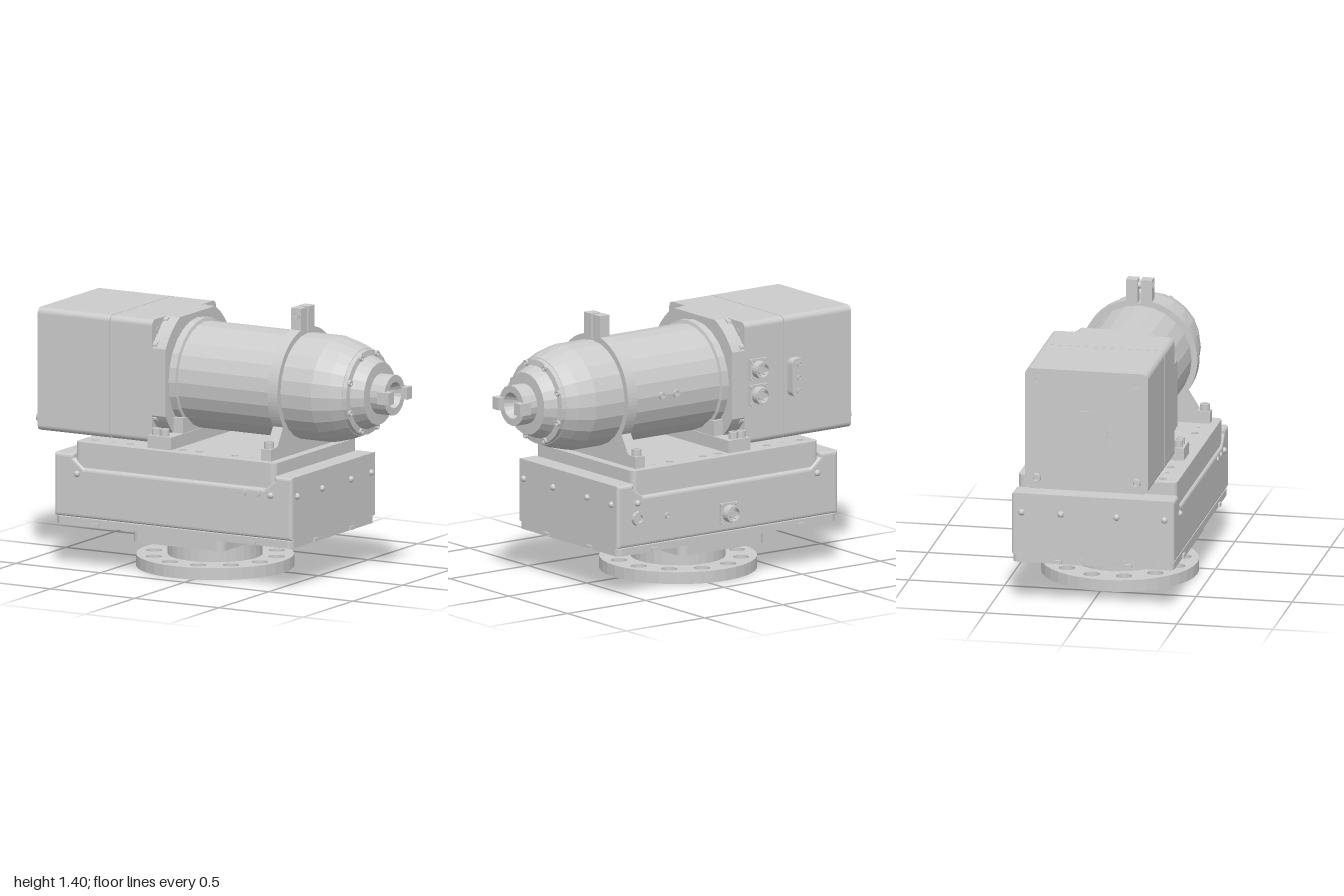
import * as THREE from 'three';

const CY = 0.99, CZ = 0.022; // main spindle axis

export function createModel() {
  const model = new THREE.Group();
  const mat = new THREE.MeshStandardMaterial({ color: 0xcccccc, flatShading: true });

  const add = (name, geo, x = 0, y = 0, z = 0) => {
    const m = new THREE.Mesh(geo, mat);
    m.name = name;
    m.position.set(x, y, z);
    model.add(m);
    return m;
  };
  // box from its min/max limits
  const box = (name, x0, x1, y0, y1, z0, z1) =>
    add(name, new THREE.BoxGeometry(x1 - x0, y1 - y0, z1 - z0), (x0 + x1) / 2, (y0 + y1) / 2, (z0 + z1) / 2);
  // cylinder centred at a point, along a named axis
  const cyl = (name, axis, r, len, x, y, z, seg = 16, r2 = r) => {
    const g = new THREE.CylinderGeometry(r2, r, len, seg);
    if (axis === 'x') g.rotateZ(-Math.PI / 2);
    if (axis === 'z') g.rotateX(Math.PI / 2);
    return add(name, g, x, y, z);
  };
  const circle = (x, y, r) => new THREE.Path().absarc(x, y, r, 0, Math.PI * 2, true);
  const roundRect = (w, h, r) => {
    const s = new THREE.Shape(), a = w / 2, b = h / 2;
    s.absarc(a - r, b - r, r, 0, Math.PI / 2);
    s.absarc(-a + r, b - r, r, Math.PI / 2, Math.PI);
    s.absarc(-a + r, -b + r, r, Math.PI, Math.PI * 1.5);
    s.absarc(a - r, -b + r, r, Math.PI * 1.5, Math.PI * 2);
    s.closePath();
    return s;
  };
  const extrude = (shape, depth, seg = 6) =>
    new THREE.ExtrudeGeometry(shape, { depth, bevelEnabled: false, curveSegments: seg });
  const upward = (name, shape, y0, y1, x, z, seg) =>
    add(name, extrude(shape, y1 - y0, seg).rotateX(-Math.PI / 2), x, y0, z);
  const alongX = (name, shape, x0, x1, y, z, seg) =>
    add(name, extrude(shape, x1 - x0, seg).rotateY(Math.PI / 2), x0, y, z);
  // socket-head screw with a recess, pointing along the given axis
  const screw = (name, axis, dir, r, len, x, y, z) => {
    const pts = [[0, 0], [r, 0], [r, len], [r * 0.55, len], [r * 0.5, len * 0.4], [0, len * 0.4]];
    const g = new THREE.LatheGeometry(pts.map(p => new THREE.Vector2(...p)), 12);
    if (axis === 'x') g.rotateZ(-dir * Math.PI / 2);
    if (axis === 'z') g.rotateX(dir * Math.PI / 2);
    return add(name, g, x, y, z);
  };
  const dome = (x, y, z) => add('coverScrew', new THREE.SphereGeometry(0.017, 10, 8), x, y, z);

  // Base flange: small through holes below, wide counterbores above
  const flange = holeR => {
    const s = new THREE.Shape().absarc(0, 0, 0.405, 0, Math.PI * 2);
    for (let i = 0; i < 12; i++) {
      const a = (i + 0.5) * Math.PI / 6;
      s.holes.push(circle(0.325 * Math.cos(a), 0.325 * Math.sin(a), holeR));
    }
    return s;
  };
  upward('baseFlangeLower', flange(0.02), 0, 0.03, -0.1, 0.022, 18);
  upward('baseFlangeUpper', flange(0.042), 0.03, 0.062, -0.1, 0.022, 18);
  cyl('baseNeck', 'y', 0.243, 0.1, -0.1, 0.11, 0.022, 32);
  upward('baseAdapterPlate', roundRect(0.54, 0.775, 0.04), 0.16, 0.222, -0.1, 0.022);
  for (const x of [-0.32, 0.12]) for (const z of [-0.31, 0.355])
    cyl('adapterBolt', 'y', 0.022, 0.012, x, 0.157, z);

  // Lower housing: floor plate, then a cover cut away around the deck
  upward('housingFloor', roundRect(1.4, 0.84, 0.03), 0.222, 0.26, -0.1, 0.022);
  const cover = new THREE.Shape([
    [-0.805, 0.262], [0.605, 0.262], [0.605, 0.59], [0.5, 0.59], [0.5, 0.57],
    [0.44, 0.52], [-0.63, 0.52], [-0.69, 0.57], [-0.69, 0.59], [-0.805, 0.59],
  ].map(p => new THREE.Vector2(...p)));
  add('housingCover', new THREE.ExtrudeGeometry(cover, {
    depth: 0.816, bevelThickness: 0.016, bevelSize: 0.016, bevelOffset: -0.016, bevelSegments: 3,
  }), 0, 0, -0.386);
  for (const x of [-0.806, 0.606]) {
    for (const z of [-0.35, -0.145, 0.145, 0.395]) dome(x, 0.49, z);
    for (const z of [-0.16, 0.205]) box('floorTab', x - 0.006, x + 0.006, 0.225, 0.243, z - 0.02, z + 0.02);
  }
  for (const z of [-0.403, 0.447]) {
    for (const x of [-0.67, 0.48]) dome(x, 0.49, z);
    for (const x of [-0.56, 0.37]) box('floorTab', x - 0.02, x + 0.02, 0.225, 0.243, z - 0.006, z + 0.006);
  }
  for (const x of [0.32, 0.4]) cyl('frontPlug', 'z', 0.014, 0.012, x, 0.49, 0.447);

  // Deck with drilled mounting holes
  const deck = roundRect(1.19, 0.827, 0.03);
  for (const x of [-0.62, -0.41, -0.1, 0, 0.21])
    for (const z of [0.35, -0.32]) deck.holes.push(circle(x + 0.095, -(z - 0.022), 0.02));
  for (const x of [-0.51, 0.31])
    for (const z of [0.35, -0.32]) deck.holes.push(circle(x + 0.095, -(z - 0.022), 0.01));
  upward('deck', deck, 0.525, 0.655, -0.095, 0.022);

  // Panel connector on the rear (-z) side: square flange, shell, pins
  const connector = (x, y, z, s = 1) => {
    box('connectorFlange', x - 0.055 * s, x + 0.055 * s, y - 0.055 * s, y + 0.055 * s, z - 0.014, z + 0.004);
    const ring = new THREE.Shape().absarc(0, 0, 0.045 * s, 0, Math.PI * 2);
    ring.holes.push(circle(0, 0, 0.034 * s));
    add('connectorShell', extrude(ring, 0.044, 10), x, y, z - 0.056);
    cyl('connectorInsert', 'z', 0.022 * s, 0.03, x, y, z - 0.027);
    for (let i = 0; i < 6; i++) {
      const a = i * Math.PI / 3;
      cyl('connectorPin', 'z', 0.004, 0.04, x + 0.027 * s * Math.cos(a), y + 0.027 * s * Math.sin(a), z - 0.03, 6);
    }
    for (const i of [-1, 1]) for (const j of [-1, 1])
      screw('connectorScrew', 'z', -1, 0.009, 0.008, x + i * 0.045 * s, y + j * 0.045 * s, z - 0.013);
  };
  connector(-0.1, 0.36, -0.402);
  screw('airPort', 'z', -1, 0.038, 0.022, 0.48, 0.41, -0.402);
  screw('ventPlug', 'z', -1, 0.016, 0.012, 0.29, 0.4, -0.402);

  // Motor housing in two sections with a thin seam
  const half = () => roundRect(0.642, 0.64, 0.03);
  alongX('motorHousingRear', half(), -0.965, -0.537, CY, CZ);
  alongX('motorHousingSeam', roundRect(0.632, 0.63, 0.03), -0.54, -0.53, CY, CZ);
  alongX('motorHousingFront', half(), -0.533, -0.285, CY, CZ);
  cyl('rearCover', 'x', 0.108, 0.006, -0.966, CY, CZ, 32);
  for (const s of [-1, 1]) {
    screw('rearFoot', 'x', -1, 0.023, 0.035, -0.963, 0.73, CZ + s * 0.26);
    screw('rearScrew', 'x', -1, 0.018, 0.006, -0.963, 1.25, CZ + s * 0.26);
  }
  connector(-0.365, 1.06, -0.298);
  connector(-0.365, 0.925, -0.298);
  add('sideCoverPlate', extrude(roundRect(0.085, 0.2, 0.03), 0.042), -0.6, 0.99, -0.342);
  for (const y of [0.92, 0.99, 1.06]) screw('sidePlateScrew', 'z', -1, 0.014, 0.008, -0.6, y, -0.341);

  // Gearbox flange: square whose corners are cut by a circle
  const adapter = new THREE.Shape(), R = 0.365, lim = Math.acos(0.32 / R);
  for (let q = 0; q < 4; q++)
    adapter.absarc(0, 0, R, q * Math.PI / 2 + lim, (q + 1) * Math.PI / 2 - lim);
  adapter.closePath();
  alongX('gearboxFlange', adapter, -0.286, -0.205, CY, CZ);
  for (const s of [-1, 1]) {
    for (const [u, v] of [[0.19, 0.3], [0.298, 0.19], [0.298, -0.19], [0.19, -0.3]])
      screw('flangeScrew', 'x', 1, 0.019, 0.026, -0.286, CY + v, CZ + s * u);
    cyl('cornerSocket', 'x', 0.02, 0.004, -0.284, 1.25, CZ + s * 0.26);
  }

  // Rear saddle and its bolts
  box('rearSaddle', -0.285, -0.145, 0.655, 0.72, CZ - 0.37, CZ + 0.37);
  box('rearSaddleWeb', -0.26, -0.15, 0.7, 0.8, CZ - 0.24, CZ + 0.24);
  for (const s of [-1, 1]) for (const x of [-0.25, -0.2])
    screw('saddleBolt', 'y', 1, 0.024, 0.035, x, 0.72, CZ + s * 0.335);

  // Spindle barrel and nose, turned around x
  const turned = (name, pts, seg) => add(name,
    new THREE.LatheGeometry(pts.map(p => new THREE.Vector2(p[1], p[0])), seg).rotateZ(-Math.PI / 2), 0, CY, CZ);
  turned('spindleBarrel', [
    [-0.21, 0], [-0.21, 0.292], [-0.165, 0.292], [-0.16, 0.275], [0.63, 0.275],
    [0.72, 0.252], [0.785, 0.226], [0.785, 0],
  ], 24);
  turned('noseCap', [
    [0.78, 0], [0.78, 0.224], [0.808, 0.22], [0.812, 0.19], [0.83, 0.182],
    [0.878, 0.162], [0.88, 0.1], [0.88, 0],
  ], 24);
  turned('spindleNose', [
    [0.87, 0.105], [0.965, 0.105], [0.965, 0.068], [0.9, 0.045], [0.84, 0.04], [0.84, 0],
  ], 20).material = Object.assign(mat.clone(), { side: THREE.DoubleSide });
  for (let i = 0; i < 8; i++) {
    const a = (i + 0.5) * Math.PI / 4;
    screw('noseScrew', 'x', 1, 0.016, 0.014, 0.808, CY + 0.206 * Math.sin(a), CZ + 0.206 * Math.cos(a));
  }
  for (const s of [-1, 1]) {
    const z = CZ + s * 0.092;
    box('driveKey', 0.93, 1, CY - 0.032, CY + 0.032, z - 0.026, z + 0.026);
  }
  for (const x of [0.12, 0.21]) screw('barrelPlug', 'z', -1, 0.02, 0.012, x, CY, CZ - 0.274);

  // Front clamp: flared feet, ring and split lugs
  const clamp = new THREE.Shape(), rc = 0.305, y0 = 0.655 - CY;
  const lug = Math.acos(0.068 / rc);
  clamp.moveTo(-0.37, y0);
  clamp.lineTo(0.37, y0);
  clamp.lineTo(0.37, y0 + 0.06);
  clamp.lineTo(0.305, y0 + 0.065);
  clamp.absarc(0, 0, rc, -0.62, lug);
  for (const [u, v] of [[0.068, 0.41], [0.008, 0.41], [0.008, 0.285], [-0.008, 0.285], [-0.008, 0.41], [-0.068, 0.41]])
    clamp.lineTo(u, v);
  clamp.absarc(0, 0, rc, Math.PI - lug, Math.PI + 0.62);
  clamp.lineTo(-0.305, y0 + 0.065);
  clamp.lineTo(-0.37, y0 + 0.06);
  clamp.closePath();
  clamp.holes.push(circle(0, 0, 0.272));
  alongX('frontClamp', clamp, 0.39, 0.45, CY, CZ, 14);
  cyl('clampPin', 'z', 0.018, 0.03, 0.42, 1.365, CZ);
  screw('clampScrew', 'z', 1, 0.022, 0.006, 0.42, 1.365, CZ + 0.066);
  for (const s of [-1, 1]) screw('clampBolt', 'y', 1, 0.026, 0.037, 0.42, 0.715, CZ + s * 0.338);

  return model;
}
